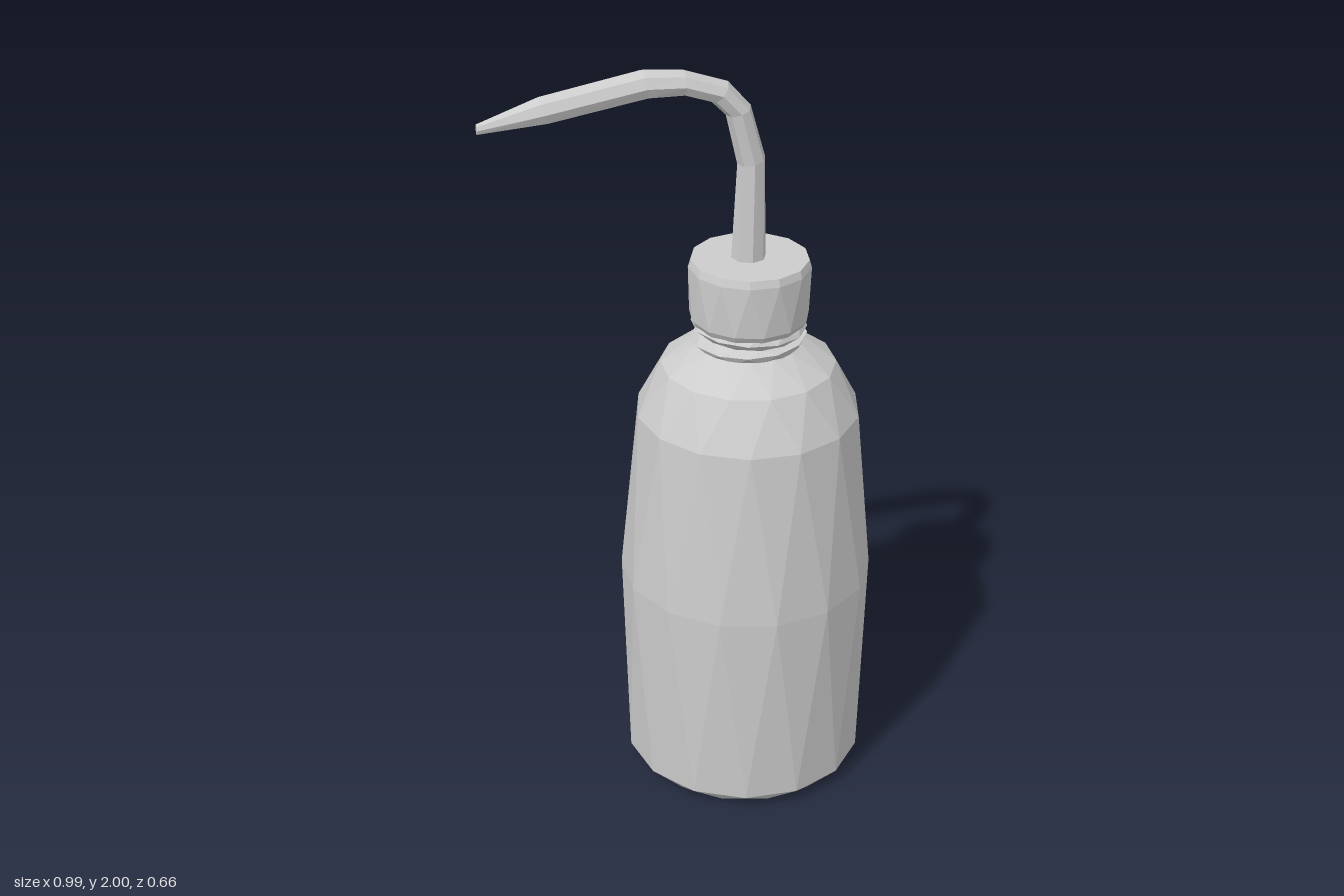
import * as THREE from 'three';

const AXIS_X = 0.17; // vertical axis of the bottle

// Flat-shaded loft through elliptical rings with both ends capped.
// Each ring: outer [x, y], inner [x, y], half depth w, centre z, twist in steps.
function loft(name, rings, sides, material) {
  const loops = rings.map(({ outer, inner, w, z = 0, twist = 0 }) => {
    const cx = (outer[0] + inner[0]) / 2, cy = (outer[1] + inner[1]) / 2;
    const nx = (outer[0] - inner[0]) / 2, ny = (outer[1] - inner[1]) / 2;
    const points = [];
    for (let i = 0; i < sides; i++) {
      const a = ((i + twist) / sides) * Math.PI * 2;
      const s = Math.sin(a);
      points.push([cx + nx * s, cy + ny * s, z + w * Math.cos(a)]);
    }
    return { points, centre: [cx, cy, z], twist };
  });
  const pos = [];
  const tri = (...corners) => corners.forEach((c) => pos.push(...c));
  const first = loops[0], last = loops[loops.length - 1];
  for (let i = 0; i < sides; i++) {
    const j = (i + 1) % sides;
    for (let k = 0; k < loops.length - 1; k++) {
      const a = loops[k].points, b = loops[k + 1].points;
      // choose the diagonal that suits the stagger between the two rings
      if (loops[k + 1].twist >= loops[k].twist) {
        tri(a[i], a[j], b[i]);
        tri(a[j], b[j], b[i]);
      } else {
        tri(a[i], a[j], b[j]);
        tri(a[i], b[j], b[i]);
      }
    }
    tri(first.centre, first.points[j], first.points[i]);
    tri(last.centre, last.points[i], last.points[j]);
  }
  const geometry = new THREE.BufferGeometry();
  geometry.setAttribute('position', new THREE.Float32BufferAttribute(pos, 3));
  geometry.computeVertexNormals();
  const mesh = new THREE.Mesh(geometry, material);
  mesh.name = name;
  return mesh;
}

// Round ring about the bottle axis; tilt lifts its +x side
const round = (r, y, twist = 0, tilt = 0) => ({
  outer: [AXIS_X + r, y + tilt], inner: [AXIS_X - r, y - tilt], w: r, twist,
});

export function createModel() {
  const group = new THREE.Group();
  group.name = 'washBottle';
  const material = new THREE.MeshStandardMaterial({ color: 0xcccccc, flatShading: true });

  // Body with staggered rings, giving long triangular facets
  group.add(loft('body', [
    round(0.275, 0.005, 0),
    round(0.318, 0.045, 0.5),
    round(0.331, 0.6, 0),
    round(0.29, 1.07, 0.5),
    round(0.225, 1.2, 0),
    round(0.135, 1.262, 0.5),
  ], 14, material));

  // Neck with uneven thread ridges
  group.add(loft('neckThread', [
    round(0.13, 1.25, 0),
    round(0.148, 1.278, 0.5, 0.006),
    round(0.126, 1.288, 0, -0.005),
    round(0.148, 1.308, 0.5, -0.006),
    round(0.13, 1.33, 0),
  ], 12, material));

  // Screw cap
  group.add(loft('cap', [
    round(0.143, 1.318, 0),
    round(0.153, 1.335, 0),
    round(0.156, 1.47, 0.5),
    round(0.15, 1.49, 0.5),
  ], 13, material));

  // Bent spout, tapering to the tip
  group.add(loft('spout', [
    { outer: [0.212, 1.47], inner: [0.122, 1.47], w: 0.045, z: -0.005 },
    { outer: [0.205, 1.755], inner: [0.135, 1.74], w: 0.04, z: -0.003 },
    { outer: [0.167, 1.89], inner: [0.105, 1.87], w: 0.04, z: -0.003 },
    { outer: [0.11, 1.955], inner: [0.07, 1.905], w: 0.04, z: -0.004 },
    { outer: [0.0, 1.992], inner: [0.0, 1.928], w: 0.04, z: -0.004 },
    { outer: [-0.1, 2.0], inner: [-0.09, 1.927], w: 0.04, z: -0.004 },
    { outer: [-0.35, 1.953], inner: [-0.33, 1.884], w: 0.037, z: -0.004 },
    { outer: [-0.5, 1.897], inner: [-0.5, 1.87], w: 0.012, z: -0.006 },
  ], 8, material));

  return group;
}
